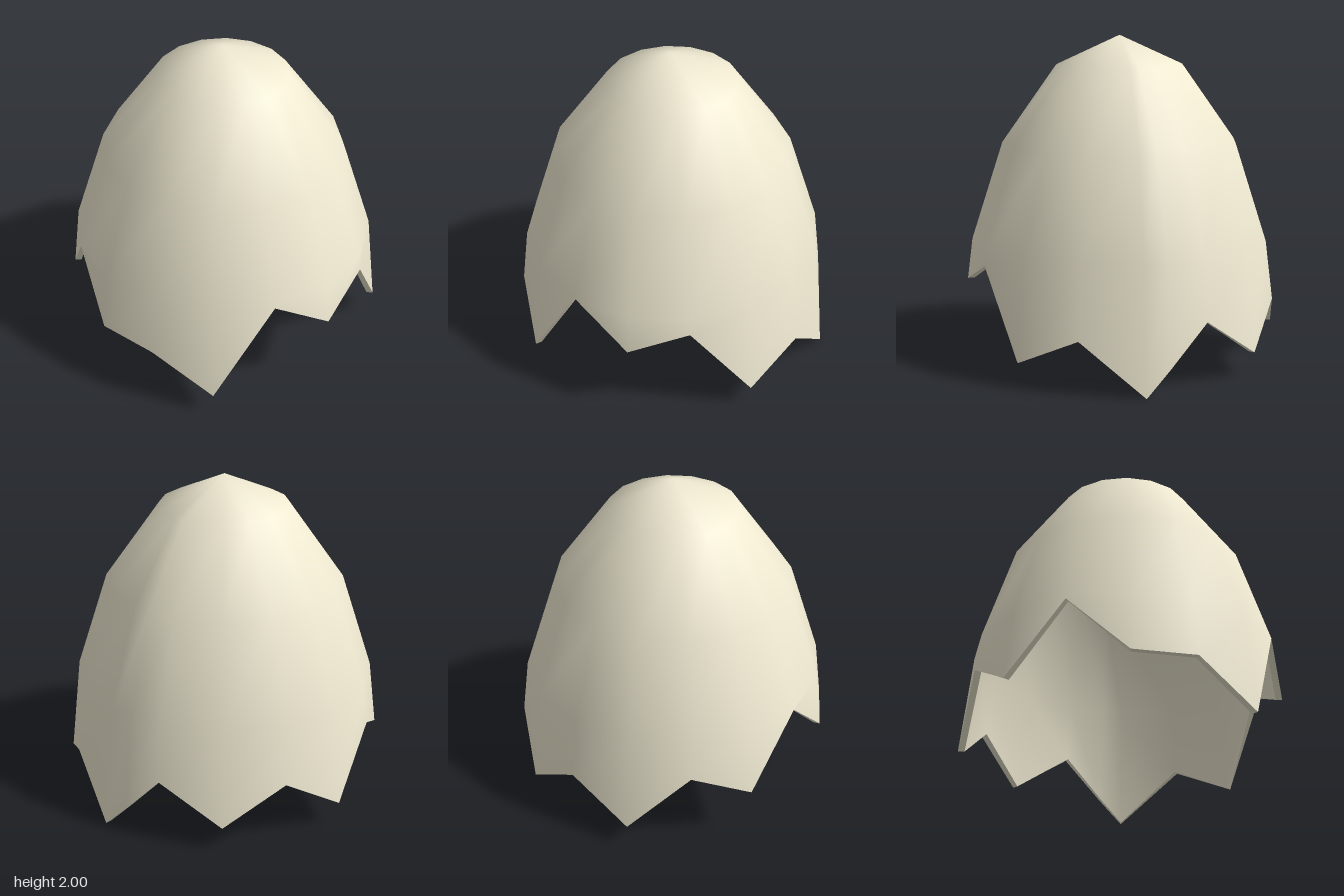
import * as THREE from 'three';

const STEP = Math.PI / 8;
const CENTER = { x: -0.025, z: 0.02 };
const WALL = 0.04;

// Height of the broken rim at each of the 16 sides, starting at the front and turning towards +x
const RIM = [0.75, 0.5, 0.65, 0.15, 0.32, 0, 0.4, 0.15, 0.39, 0.15, 0.52, 0.34, 0.75, 0.4, 0.4, 0.15];

// Columns of the shell; one extra column puts a kink in the break behind the longest tooth
const columns = RIM.map((y, k) => ({ angle: k * STEP, y, scale: 1 }));
columns.splice(6, 0, {
  angle: 5.38 * STEP, y: 0.15,
  scale: Math.cos(STEP / 2) / Math.cos(0.12 * STEP),
});

// Radius of the flaring lower part at height y
const lowerRadius = (y) => (y > 0.4 ? 0.97 - (y - 0.4) * 0.129 : 1.007 - y * 0.0925);

function point(column, radius, y) {
  const r = radius * column.scale;
  return [CENTER.x + r * Math.sin(column.angle), y, CENTER.z + r * Math.cos(column.angle)];
}

function geometryFrom(positions, index) {
  const g = new THREE.BufferGeometry();
  g.setAttribute('position', new THREE.Float32BufferAttribute(positions, 3));
  g.setIndex(index);
  return g;
}

// One skin of the shell: apex, three rings and the jagged edge
function skin(apexY, rings, thickness, inward) {
  const n = columns.length;
  const positions = [CENTER.x, apexY, CENTER.z];
  const index = [];
  const tri = (a, b, c) => (inward ? index.push(a, c, b) : index.push(a, b, c));
  for (const [r, y] of rings) columns.forEach((c) => positions.push(...point(c, r, y)));
  columns.forEach((c) => positions.push(...point(c, lowerRadius(c.y) - thickness, c.y)));
  for (let j = 0; j < n; j++) {
    const next = (j + 1) % n;
    tri(0, 1 + j, 1 + next);
    for (let i = 0; i < rings.length; i++) {
      const a = 1 + i * n + j, b = 1 + i * n + next;
      tri(a, a + n, b);
      tri(b, a + n, b + n);
    }
  }
  const g = geometryFrom(positions, index);
  g.computeVertexNormals();
  return g;
}

// Flat strip that closes the wall along the break
function rimStrip() {
  const n = columns.length;
  const positions = [];
  const index = [];
  columns.forEach((c, j) => {
    const r = lowerRadius(c.y);
    positions.push(...point(c, r, c.y), ...point(c, r - WALL, c.y));
    const o0 = 2 * j, o1 = 2 * ((j + 1) % n);
    index.push(o0, o0 + 1, o1, o1, o0 + 1, o1 + 1);
  });
  const g = geometryFrom(positions, index).toNonIndexed();
  g.computeVertexNormals();
  return g;
}

export function createModel() {
  const group = new THREE.Group();
  group.name = 'brokenEggshell';
  const material = new THREE.MeshStandardMaterial({ color: 0xf0ead2 });
  const add = (name, geometry) => {
    const mesh = new THREE.Mesh(geometry, material);
    mesh.name = name;
    group.add(mesh);
  };
  add('outerShell', skin(2, [[0.395, 1.82], [0.73, 1.35], [0.925, 0.75]], 0, false));
  add('innerShell', skin(1.96, [[0.375, 1.785], [0.692, 1.335], [0.885, 0.75]], WALL, true));
  add('brokenRim', rimStrip());
  return group;
}
